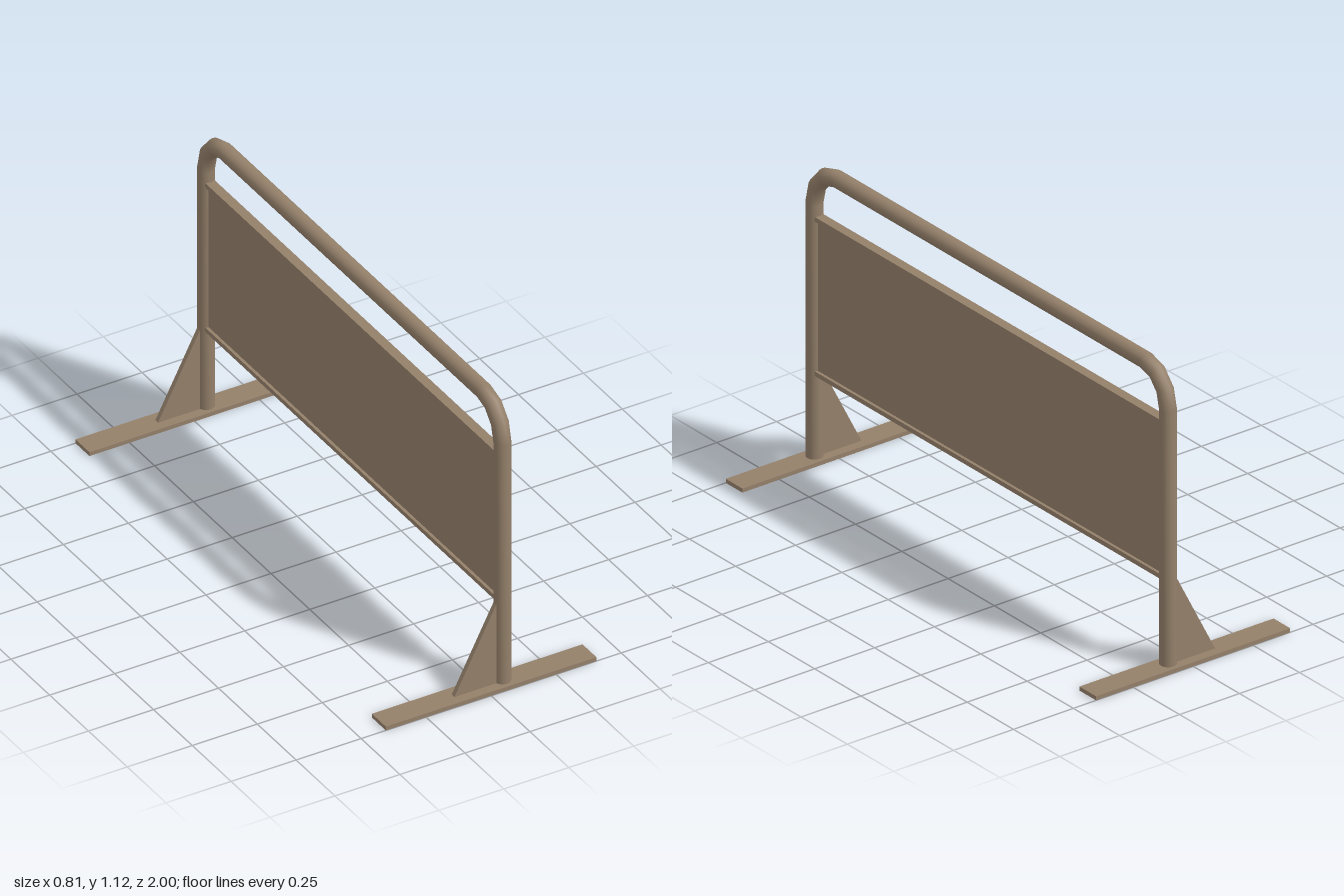
import * as THREE from 'three';

const POST_X = 0.07, POST_Z = 0.955, TOP_Y = 1.09, RADIUS = 0.03, SIDES = 16;

// Mitred round tube along a path of [z, y] points lying in the plane x = POST_X
function bentTube(path) {
  const pos = [], index = [];
  const dir = (a, b) => new THREE.Vector2(b[0] - a[0], b[1] - a[1]).normalize();
  path.forEach((p, i) => {
    const before = i > 0 ? dir(path[i - 1], p) : dir(p, path[i + 1]);
    const after = i < path.length - 1 ? dir(p, path[i + 1]) : before;
    const t = before.clone().add(after).normalize();
    const mitre = RADIUS / t.dot(before);
    for (let j = 0; j < SIDES; j++) {
      const a = (j / SIDES) * Math.PI * 2;
      const n = Math.cos(a) * mitre;
      pos.push(POST_X + Math.sin(a) * RADIUS, p[1] - t.x * n, p[0] + t.y * n);
      if (i < path.length - 1) {
        const k = (j + 1) % SIDES, r = i * SIDES;
        index.push(r + j, r + k, r + SIDES + j, r + k, r + SIDES + k, r + SIDES + j);
      }
    }
  });
  const geometry = new THREE.BufferGeometry();
  geometry.setAttribute('position', new THREE.Float32BufferAttribute(pos, 3));
  geometry.setIndex(index);
  geometry.computeVertexNormals();
  return geometry;
}

export function createModel() {
  const model = new THREE.Group();
  model.name = 'barrier';
  const paint = new THREE.MeshStandardMaterial({ color: 0x94806a });
  paint.name = 'brown paint';

  const add = (name, geometry, x = 0, y = 0, z = 0) => {
    const mesh = new THREE.Mesh(geometry, paint);
    mesh.name = name;
    mesh.position.set(x, y, z);
    model.add(mesh);
  };

  // Hoop: two posts joined by a top bar with rounded corners
  const bendZ = 0.12, bendY = 0.135, steps = 3;
  const half = [[POST_Z, 0.008]];
  for (let i = 0; i <= steps; i++) {
    const a = (i / steps) * Math.PI / 2;
    half.push([POST_Z - bendZ + bendZ * Math.cos(a), TOP_Y - bendY + bendY * Math.sin(a)]);
  }
  const path = [...half.map(([z, y]) => [-z, y]), ...half.slice().reverse()];
  add('tubeFrame', bentTube(path));

  // Infill panel with a rail along its top and bottom
  add('panel', new THREE.BoxGeometry(0.014, 0.56, 1.86), POST_X, 0.62, 0);
  add('lowerRail', new THREE.BoxGeometry(0.036, 0.017, 1.86), POST_X, 0.334, 0);
  add('upperRail', new THREE.BoxGeometry(0.036, 0.017, 1.86), POST_X, 0.906, 0);

  // Flat feet and triangular braces
  const brace = new THREE.Shape([
    new THREE.Vector2(-0.12, 0.014),
    new THREE.Vector2(0.05, 0.014),
    new THREE.Vector2(0.05, 0.33),
    new THREE.Vector2(0.043, 0.33),
  ]);
  const braceGeometry = new THREE.ExtrudeGeometry(brace, { depth: 0.018, bevelEnabled: false });
  braceGeometry.translate(0, 0, -0.009);
  for (const [side, s] of [['front', 1], ['back', -1]]) {
    add(side + 'Foot', new THREE.BoxGeometry(0.81, 0.015, 0.09), 0, 0.0075, s * POST_Z);
    add(side + 'Brace', braceGeometry, 0, 0, s * POST_Z);
  }
  return model;
}
